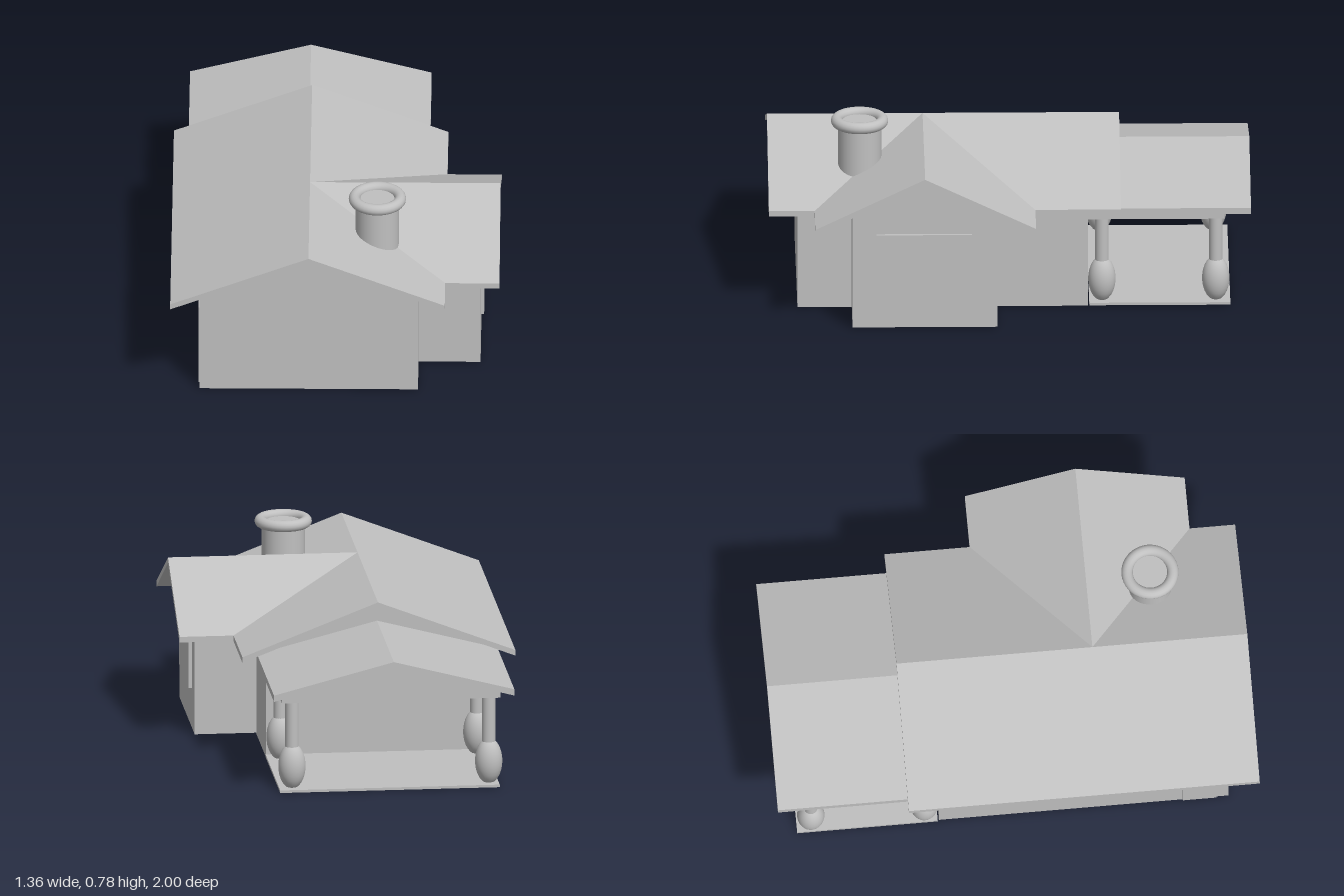
import * as THREE from 'three';

const plaster = new THREE.MeshStandardMaterial({ color: 0xc0c0c0 });
plaster.name = 'light grey';

// Roof slab: a planar outline (seen from above) given vertical thickness
function slab(corners, thickness) {
  let top = corners.map((c) => new THREE.Vector3(...c));
  const normal = top[1].clone().sub(top[0]).cross(top[2].clone().sub(top[0]));
  if (normal.y < 0) top = top.reverse();
  const low = top.map((v) => v.clone().setY(v.y - thickness));
  const tris = [];
  for (let i = 1; i < top.length - 1; i++) {
    tris.push(top[0], top[i], top[i + 1], low[0], low[i + 1], low[i]);
  }
  top.forEach((a, i) => {
    const j = (i + 1) % top.length;
    tris.push(a, low[i], low[j], a, low[j], top[j]);
  });
  const g = new THREE.BufferGeometry().setFromPoints(tris);
  g.computeVertexNormals();
  return g;
}

// Gabled block: five-sided outline across the ridge, extruded along +z from 0
function gable(halfWidth, base, eave, peak, length) {
  const s = new THREE.Shape([
    [-halfWidth, base], [halfWidth, base], [halfWidth, eave], [0, peak], [-halfWidth, eave],
  ].map((p) => new THREE.Vector2(...p)));
  return new THREE.ExtrudeGeometry(s, { depth: length, bevelEnabled: false });
}

export function createModel() {
  const model = new THREE.Group();
  model.name = 'house';
  const add = (name, geometry, x = 0, y = 0, z = 0) => {
    const m = new THREE.Mesh(geometry, plaster);
    m.name = name;
    m.position.set(x, y, z);
    model.add(m);
    return m;
  };
  const box = (name, x0, x1, y0, y1, z0, z1) => add(name,
    new THREE.BoxGeometry(x1 - x0, y1 - y0, z1 - z0),
    (x0 + x1) / 2, (y0 + y1) / 2, (z0 + z1) / 2);

  const ridgeX = -0.11, wingZ = 0.355, thick = 0.024;

  // Walls
  add('mainWalls', gable(0.453, 0.003, 0.49, 0.665, 1.205), ridgeX, 0, -0.325);
  add('wingWalls', gable(0.3, 0.008, 0.521, 0.665, 0.7), -0.1, 0, wingZ).rotation.y = Math.PI / 2;

  // Main roof, two slopes
  for (const eaveX of [-0.683, 0.455]) {
    add('mainRoofSlope', slab([
      [ridgeX, 0.69, -0.46], [ridgeX, 0.69, 1], [eaveX, 0.47, 1], [eaveX, 0.47, -0.46],
    ], thick));
  }

  // Wing roof, cut along the valleys where it meets the main roof
  for (const eaveZ of [-0.105, 0.81]) {
    add('wingRoofSlope', slab([
      [ridgeX, 0.69, wingZ], [0.68, 0.69, wingZ], [0.68, 0.47, eaveZ], [0.455, 0.47, eaveZ],
    ], thick));
  }

  // Porch roof, with the gabled block below it
  const porchX = -0.12;
  for (const eaveX of [-0.622, 0.38]) {
    add('porchRoofSlope', slab([
      [porchX, 0.576, -1], [porchX, 0.576, -0.32], [eaveX, 0.446, -0.32], [eaveX, 0.446, -1],
    ], 0.027));
  }
  add('porchGable', gable(0.455, 0.382, 0.431, 0.55, 0.57), porchX, 0, -0.89);
  box('porchFloor', -0.57, 0.345, 0.005, 0.016, -0.915, -0.33);

  // Porch posts with swollen bases
  const profile = [new THREE.Vector2(0, 0.008)];
  for (let i = 1; i <= 12; i++) {
    const a = -Math.PI / 2 + (Math.PI * i) / 13;
    profile.push(new THREE.Vector2(0.057 * Math.cos(a), 0.105 + 0.097 * Math.sin(a)));
  }
  profile.push(new THREE.Vector2(0, 0.202));
  const vase = new THREE.LatheGeometry(profile, 28);
  const shaft = new THREE.CylinderGeometry(0.028, 0.028, 0.22, 24);
  for (const x of [-0.53, 0.29]) {
    for (const z of [-0.383, -0.855]) {
      add('postBase', vase, x, 0, z);
      add('postShaft', shaft, x, 0.285, z);
    }
  }

  // Chimney and its rounded rim
  add('chimney', new THREE.CylinderGeometry(0.09, 0.09, 0.265, 32), 0.172, 0.632, 0.62);
  add('chimneyRim', new THREE.TorusGeometry(0.095, 0.024, 16, 40), 0.172, 0.764, 0.62)
    .rotation.x = Math.PI / 2;

  // Wing window, and the window and door of the long wall
  box('wingWindow', 0.598, 0.614, 0.18, 0.42, 0.16, 0.555);
  box('sideWindow', -0.568, -0.562, 0.18, 0.37, 0.26, 0.5);
  box('sideDoor', -0.568, -0.562, 0.003, 0.36, 0.69, 0.83);

  return model;
}
